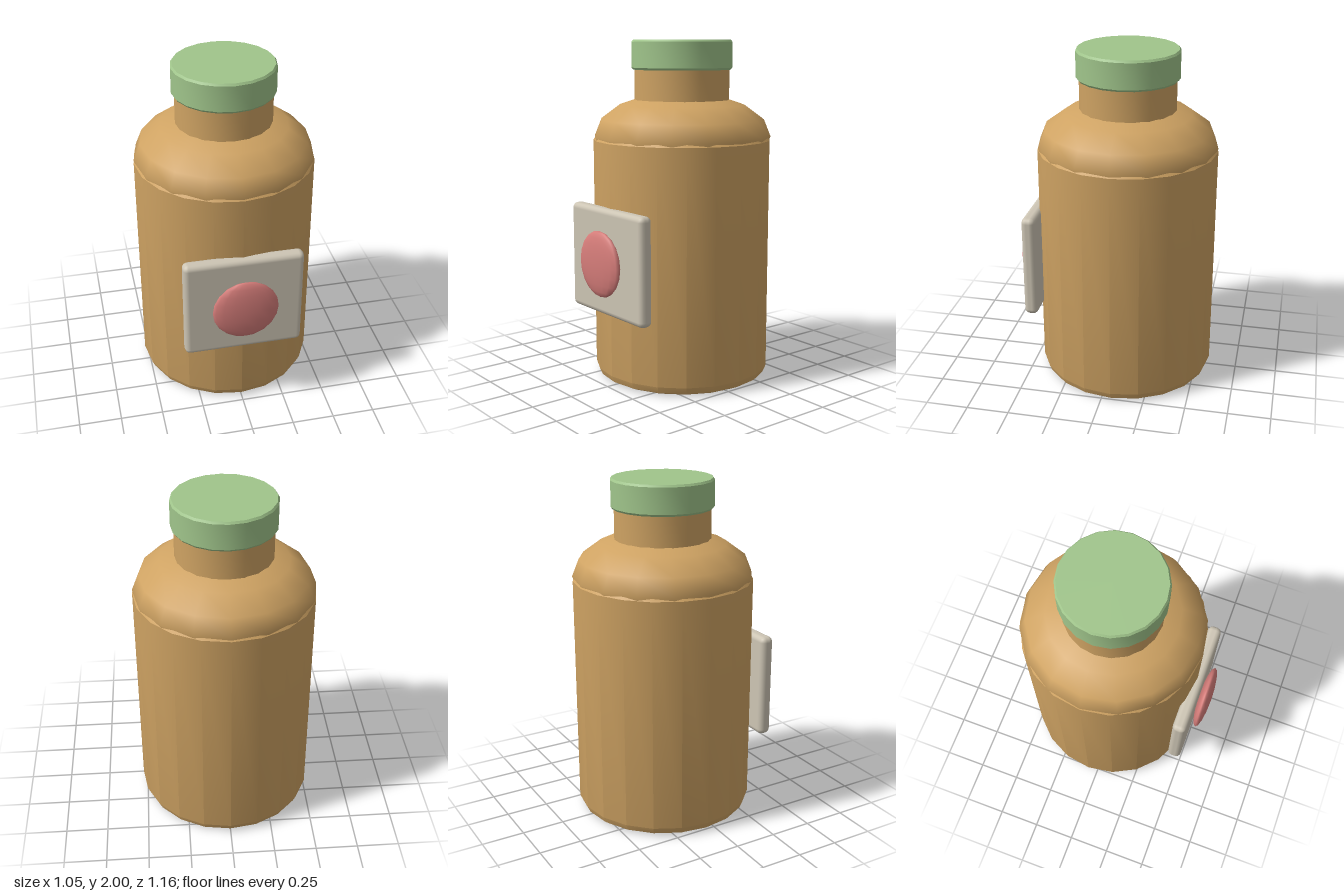
import * as THREE from 'three';
import { RoundedBoxGeometry } from 'three/addons/geometries/RoundedBoxGeometry.js';
import { toCreasedNormals } from 'three/addons/utils/BufferGeometryUtils.js';

const material = (name, color) => {
  const m = new THREE.MeshStandardMaterial({ color });
  m.name = name;
  return m;
};

// Turned solid from [radius, height] pairs, with crisp rims and smooth sides
const turned = (profile, sides = 20) => toCreasedNormals(
  new THREE.LatheGeometry(profile.map(([r, y]) => new THREE.Vector2(r, y)), sides), 0.5);

export function createModel() {
  const group = new THREE.Group();
  group.name = 'bottle';

  const amber = material('amber', 0xcfa363);
  const green = material('cap green', 0xa0c58b);
  const cream = material('label cream', 0xcdc5b4);
  const red = material('badge red', 0xd67d7a);

  const add = (name, geometry, mat, x, y, z) => {
    const mesh = new THREE.Mesh(geometry, mat);
    mesh.name = name;
    mesh.position.set(x, y, z);
    group.add(mesh);
    return mesh;
  };

  const axisZ = -0.058;

  // Bottle: straight body, domed shoulder and neck
  add('body', turned([[0, 0], [0.475, 0], [0.508, 0.016], [0.525, 0.055],
    [0.525, 1.42], [0.51, 1.44], [0, 1.445]]), amber, 0, 0, axisZ);
  add('shoulder', new THREE.SphereGeometry(0.525, 16, 8).scale(1, 0.26 / 0.525, 1),
    amber, 0, 1.44, axisZ);
  add('neck', turned([[0, 1.6], [0.28, 1.6], [0.28, 1.86], [0, 1.86]]), amber, 0, 0, axisZ);

  // Screw cap with a narrow bevel on both rims
  add('cap', turned([[0, 1.828], [0.288, 1.828], [0.297, 1.84],
    [0.297, 1.988], [0.288, 2], [0, 2]]), green, 0, 0, axisZ);

  // Label plate and round badge on the front
  add('label', new RoundedBoxGeometry(0.695, 0.625, 0.082, 2, 0.032), cream, 0, 0.741, 0.465);
  add('badge', new THREE.SphereGeometry(0.192, 16, 10).scale(1, 1, 0.04 / 0.192),
    red, 0, 0.741, 0.54);

  return group;
}
